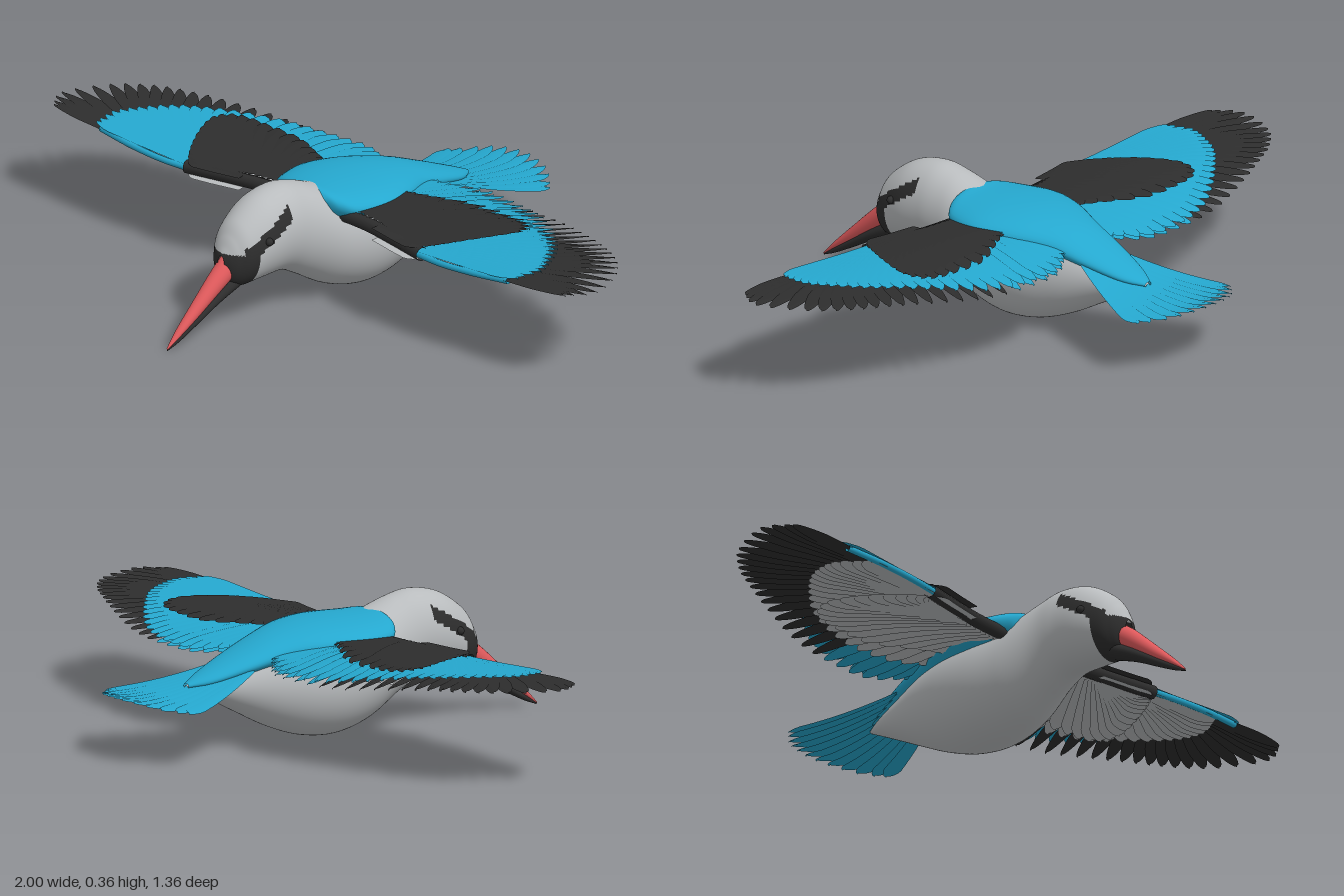
import * as THREE from 'three';
import { mergeGeometries } from 'three/addons/utils/BufferGeometryUtils.js';

const paint = (name, color, side = THREE.FrontSide) => {
  const m = new THREE.MeshStandardMaterial({ color, side });
  m.name = name;
  return m;
};
const { smoothstep, lerp } = THREE.MathUtils;

// Smooth loft through [z, top, bottom, halfWidth] sections, listed from front to back.
// pick(y, z) chooses the material group of each quad.
function loft(sections, steps, sides, pick = () => 0) {
  const heights = new THREE.CatmullRomCurve3(
    sections.map(([z, t, b]) => new THREE.Vector3(z, t, b)), false, 'catmullrom');
  const widths = new THREE.CatmullRomCurve3(
    sections.map(([z, , , w]) => new THREE.Vector3(z, w, 0)), false, 'catmullrom');
  const pos = [], buckets = [[], []];
  for (let i = 0; i <= steps; i++) {
    const { x: z, y: top, z: bottom } = heights.getPoint(i / steps);
    const w = Math.max(widths.getPoint(i / steps).y, 0.001);
    for (let j = 0; j < sides; j++) {
      const a = (j / sides) * Math.PI * 2;
      pos.push(w * Math.cos(a), (top + bottom) / 2 + ((top - bottom) / 2) * Math.sin(a), z);
    }
  }
  for (let i = 0; i < steps; i++) {
    for (let j = 0; j < sides; j++) {
      const a = i * sides + j, c = i * sides + ((j + 1) % sides);
      const b = a + sides, d = c + sides;
      const y = (pos[a * 3 + 1] + pos[d * 3 + 1]) / 2, z = (pos[a * 3 + 2] + pos[d * 3 + 2]) / 2;
      buckets[pick(y, z)].push(a, b, c, b, d, c);
    }
  }
  const geo = new THREE.BufferGeometry();
  geo.setAttribute('position', new THREE.Float32BufferAttribute(pos, 3));
  geo.setIndex(buckets.flat());
  geo.addGroup(0, buckets[0].length, 0);
  geo.addGroup(buckets[0].length, buckets[1].length, 1);
  geo.computeVertexNormals();
  return geo;
}

// One leaf-shaped feather from root to tip, draped on the height rule
function feather(root, tip, halfWidth, height, lift, point = 4) {
  const dir = tip.clone().sub(root);
  const side = new THREE.Vector2(-dir.y, dir.x).normalize();
  const pos = [], index = [], steps = 14;
  for (let i = 0; i <= steps; i++) {
    const s = 1 - (1 - i / steps) ** 1.6;
    const w = halfWidth * lerp(0.6, 1, s) * Math.sqrt(Math.min(1, (1 - s) * point));
    for (let k = -1; k <= 1; k++) {
      const x = root.x + dir.x * s + side.x * w * k;
      const z = root.y + dir.y * s + side.y * w * k;
      pos.push(x, height(x, z) + lift + 0.002 * k + (k === 0 ? 0.002 : 0), z);
    }
    if (i < steps) {
      for (let k = 0; k < 2; k++) {
        const a = i * 3 + k;
        index.push(a, a + 1, a + 3, a + 1, a + 4, a + 3);
      }
    }
  }
  const geo = new THREE.BufferGeometry();
  geo.setAttribute('position', new THREE.Float32BufferAttribute(pos, 3));
  geo.setIndex(index);
  return geo;
}

const spline = (pts) => new THREE.SplineCurve(pts.map(([x, z]) => new THREE.Vector2(x, z)));

// Fan of feathers between a root line and a tip line; from..to limits the range built
function featherRow(roots, tips, count, halfWidth, height, lift, point, from = 0, to = count) {
  const r = spline(roots), t = spline(tips), list = [];
  for (let i = from; i < to; i++) {
    const u = i / (count - 1);
    list.push(feather(r.getPoint(u), t.getPoint(u), halfWidth, height, lift, point));
  }
  const geo = mergeGeometries(list);
  geo.computeVertexNormals();
  return geo;
}

// Gently cambered wing surface, flattening and rising towards the tip
function wingHeight(x, z) {
  const out = smoothstep(x, 0.35, 1);
  const t = Math.min(1, Math.max(0, (0.17 - z) / 0.47));
  return 0.25 + 0.026 * out + (1 - out) * (0.025 * Math.sin(Math.PI * t) - 0.022 * t);
}

const tailHeight = (x, z) =>
  0.163 + 0.55 * (z + 0.62) ** 2 + 0.01 * smoothstep(-z, 0.6, 0.7) - 0.25 * x * x;

export function createModel() {
  const white = paint('pale grey plumage', 0xb9bcbe, THREE.DoubleSide);
  const blue = paint('bright blue plumage', 0x25a8cf, THREE.DoubleSide);
  const black = paint('black plumage', 0x2d2d2d, THREE.DoubleSide);
  const red = paint('red bill', 0xe05a5c);

  const model = new THREE.Group();
  model.name = 'flyingBird';
  const add = (name, geo, mat, parent = model) => {
    const mesh = new THREE.Mesh(geo, mat);
    mesh.name = name;
    parent.add(mesh);
    return mesh;
  };

  // Head and body with a black eye stripe and lores
  const mask = (y, z) => {
    const s = (z - 0.285) / 0.155;
    const stripe = s > 0 && s < 1 && Math.abs(y - (0.312 - 0.095 * s)) < 0.02;
    return stripe || (z > 0.405 && y < 0.222) ? 1 : 0;
  };
  add('headAndBody', loft([
    [0.475, 0.215, 0.165, 0.012], [0.465, 0.235, 0.145, 0.035], [0.45, 0.265, 0.127, 0.052],
    [0.42, 0.305, 0.117, 0.072], [0.35, 0.35, 0.12, 0.089], [0.27, 0.365, 0.118, 0.094],
    [0.2, 0.352, 0.086, 0.1], [0.1, 0.318, 0.03, 0.126], [0, 0.312, 0.003, 0.14],
    [-0.1, 0.306, 0.01, 0.134], [-0.2, 0.285, 0.044, 0.11], [-0.3, 0.248, 0.094, 0.076],
    [-0.4, 0.208, 0.146, 0.04], [-0.46, 0.184, 0.176, 0.008],
  ], 150, 80, mask), [white, black]);

  // Blue mantle and rump over the back
  add('mantle', loft([
    [0.155, 0.32, 0.28, 0.07], [0.14, 0.326, 0.25, 0.115], [0.1, 0.323, 0.232, 0.155],
    [0, 0.323, 0.226, 0.178], [-0.1, 0.316, 0.222, 0.15], [-0.2, 0.295, 0.212, 0.105],
    [-0.3, 0.257, 0.196, 0.08], [-0.4, 0.216, 0.178, 0.048], [-0.46, 0.19, 0.177, 0.012],
  ], 60, 40), [blue, blue]);

  // Bill
  add('upperBill', loft([
    [0.682, 0.007, 0.003, 0.002], [0.64, 0.05, 0.028, 0.011], [0.58, 0.105, 0.062, 0.018],
    [0.5, 0.177, 0.112, 0.026], [0.44, 0.222, 0.15, 0.032],
  ], 24, 24), [red, red]);
  add('lowerBill', loft([
    [0.68, 0.005, 0.001, 0.002], [0.64, 0.034, 0.016, 0.01], [0.58, 0.074, 0.045, 0.017],
    [0.5, 0.125, 0.085, 0.026], [0.42, 0.17, 0.116, 0.034],
  ], 24, 24), [black, black]);

  // Eyes
  for (const x of [-0.083, 0.083]) {
    add('eye', new THREE.SphereGeometry(0.011, 16, 12), black).position.set(x, 0.25, 0.375);
  }

  // Tail fan
  add('tail', featherRow(
    [[-0.07, -0.3], [-0.035, -0.3], [0, -0.3], [0.035, -0.3], [0.07, -0.3]],
    [[-0.192, -0.585], [-0.11, -0.655], [0, -0.682], [0.11, -0.655], [0.192, -0.585]],
    12, 0.026, tailHeight, 0, 9), blue);

  // Wing feather layers, built for the left wing
  const flightRoots = [[0.09, 0], [0.15, 0.04], [0.25, 0.08], [0.35, 0.1], [0.44, 0.11],
    [0.5, 0.12], [0.54, 0.125], [0.56, 0.13], [0.57, 0.14], [0.57, 0.15]];
  const flightTips = [[0.1, -0.25], [0.2, -0.31], [0.35, -0.31], [0.5, -0.29], [0.64, -0.247],
    [0.76, -0.2], [0.86, -0.15], [0.945, -0.07], [1, 0.06], [0.955, 0.137]];
  const blueRoots = [[0.09, 0.02], [0.15, 0.05], [0.22, 0.08], [0.28, 0.1], [0.34, 0.11],
    [0.37, 0.12], [0.39, 0.13], [0.4, 0.135], [0.41, 0.14], [0.42, 0.15]];
  const blueTips = [[0.1, -0.25], [0.2, -0.31], [0.33, -0.305], [0.45, -0.275], [0.56, -0.21],
    [0.65, -0.14], [0.72, -0.075], [0.77, 0], [0.8, 0.07], [0.785, 0.145]];
  const covertRoots = [[0.11, 0.1], [0.14, 0.1], [0.18, 0.105], [0.23, 0.11], [0.26, 0.115],
    [0.28, 0.12], [0.29, 0.125], [0.29, 0.13], [0.28, 0.135], [0.25, 0.135]];
  const covertTips = [[0.15, -0.08], [0.22, -0.11], [0.34, -0.165], [0.46, -0.168], [0.545, -0.155],
    [0.575, -0.1], [0.545, -0.02], [0.5, 0.06], [0.46, 0.12], [0.43, 0.155]];
  const underTips = [[0.1, -0.15], [0.2, -0.2], [0.33, -0.215], [0.45, -0.2], [0.56, -0.16],
    [0.64, -0.1], [0.7, -0.04], [0.73, 0.02], [0.73, 0.08], [0.69, 0.145]];

  // Rounded leading edge of the wing
  const edge = (pts, radius) => new THREE.TubeGeometry(new THREE.CatmullRomCurve3(
    pts.map(([x, z]) => new THREE.Vector3(x, wingHeight(x, z), z))), 24, radius, 10);

  const layers = [
    ['innerFlightFeathers', featherRow(flightRoots, flightTips, 28, 0.029, wingHeight, 0, 5, 0, 7), blue],
    ['flightFeathers', featherRow(flightRoots, flightTips, 28, 0.027, wingHeight, 0, 3.5, 7), black],
    ['blueWingFeathers', featherRow(blueRoots, blueTips, 28, 0.03, wingHeight, 0.009, 6), blue],
    ['blackCoverts', featherRow(covertRoots, covertTips, 22, 0.032, wingHeight, 0.018, 6), black],
    ['underwingCoverts', featherRow(blueRoots, underTips, 24, 0.032, wingHeight, -0.009, 6), white],
    ['underwingLining', featherRow(covertRoots, covertTips, 22, 0.032, wingHeight, -0.016, 6), white],
    ['innerLeadingEdge', edge([[0.1, 0.11], [0.2, 0.115], [0.3, 0.13], [0.44, 0.157]], 0.019), black],
    ['outerLeadingEdge', edge([[0.42, 0.16], [0.52, 0.17], [0.64, 0.168], [0.76, 0.155]], 0.009), blue],
  ];
  for (const side of [1, -1]) {
    const wing = new THREE.Group();
    wing.name = side > 0 ? 'leftWing' : 'rightWing';
    model.add(wing);
    for (const [name, geo, mat] of layers) {
      const g = geo.clone();
      if (side < 0) {
        // Mirror and turn the faces back outward
        const p = g.attributes.position;
        for (let i = 0; i < p.count; i++) p.setX(i, -p.getX(i));
        g.setIndex([...g.index.array].reverse());
        g.computeVertexNormals();
      }
      add(name, g, mat, wing);
    }
  }
  return model;
}
